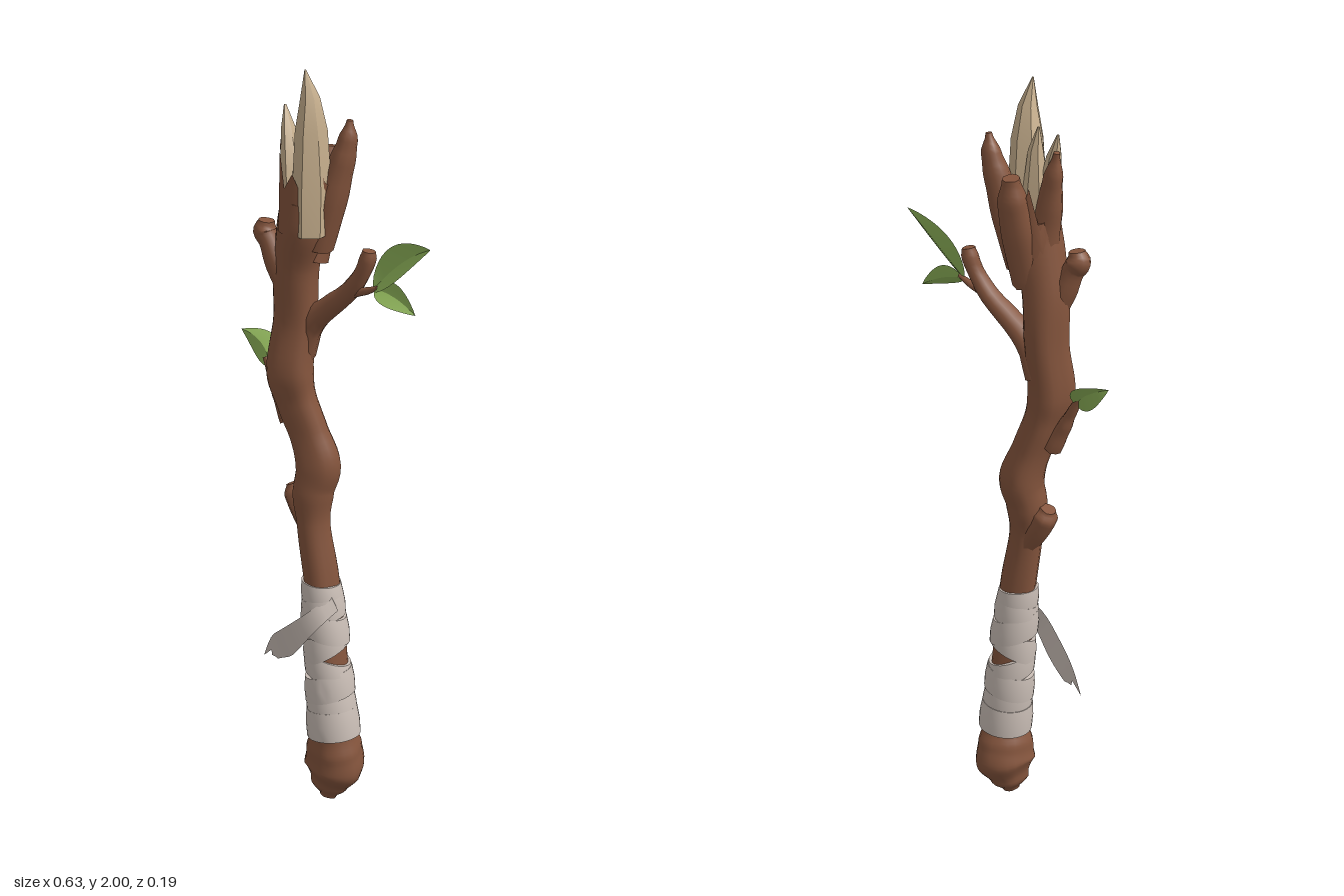
import * as THREE from 'three';
import { toCreasedNormals } from 'three/addons/utils/BufferGeometryUtils.js';

const V = (x, y, z) => new THREE.Vector3(x, y, z);
const mat = (name, color, side = THREE.FrontSide) => {
  const m = new THREE.MeshStandardMaterial({ color, side });
  m.name = name;
  return m;
};

// Skin a stack of point rows; closed rows wrap round, caps fill both ends
function skin(rows, closed, caps = false) {
  const n = rows[0].length, pos = [], idx = [];
  rows.forEach(row => row.forEach(p => pos.push(p.x, p.y, p.z)));
  for (let i = 0; i < rows.length - 1; i++) {
    for (let j = 0; j < (closed ? n : n - 1); j++) {
      const k = (j + 1) % n, a = i * n + j, b = i * n + k;
      idx.push(a, b, a + n, b, b + n, a + n);
    }
  }
  if (caps) [0, rows.length - 1].forEach((r, end) => {
    const c = pos.length / 3, mid = V(0, 0, 0);
    rows[r].forEach(p => mid.addScaledVector(p, 1 / n));
    [mid, ...rows[r]].forEach(p => pos.push(p.x, p.y, p.z));
    for (let j = 0; j < n; j++) {
      const a = c + 1 + j, b = c + 1 + (j + 1) % n;
      idx.push(c, end ? a : b, end ? b : a);
    }
  });
  const g = new THREE.BufferGeometry();
  g.setAttribute('position', new THREE.Float32BufferAttribute(pos, 3));
  g.setIndex(idx);
  g.computeVertexNormals();
  return g;
}

// Round limb through [x, y, z, radius] stations, with bark ridges
function limb(stations, steps, sides, ridge = 0.05) {
  const path = new THREE.CatmullRomCurve3(stations.map(s => V(s[0], s[1], s[2])), false, 'centripetal');
  const last = stations.length - 1, rows = [];
  for (let i = 0; i <= steps; i++) {
    const u = i / steps, k = Math.min(Math.floor(u * last), last - 1);
    const f = THREE.MathUtils.smoothstep(u * last - k, 0, 1);
    const r = THREE.MathUtils.lerp(stations[k][3], stations[k + 1][3], f);
    const c = path.getPoint(u), t = path.getTangent(u);
    const nrm = V(0, 0, 1).cross(t).normalize(), bin = t.clone().cross(nrm);
    rows.push(Array.from({ length: sides }, (_, j) => {
      const a = j / sides * Math.PI * 2;
      const q = r * (1 + ridge * Math.sin(3 * a + c.y * 5) + ridge * 0.6 * Math.sin(5 * a - c.y * 4));
      return c.clone().addScaledVector(nrm, q * Math.cos(a)).addScaledVector(bin, q * Math.sin(a));
    }));
  }
  return skin(rows, true, true);
}

// Leaf folded along its midrib; bend is the middle of the rib, side points across it
function leaf(base, bend, tip, side, half) {
  const rib = new THREE.QuadraticBezierCurve3(base, bend, tip);
  const s = side.normalize(), up = tip.clone().sub(base).normalize().cross(s).normalize();
  const rows = [];
  for (let i = 0; i <= 14; i++) {
    const u = i / 14, w = half * Math.pow(Math.sin(Math.PI * Math.pow(u, 0.8)), 0.85) + 0.002 * (1 - u);
    rows.push([-1, -0.5, 0, 0.5, 1].map(v => rib.getPoint(u)
      .addScaledVector(s, v * w)
      .addScaledVector(up, w * 0.35 * Math.pow(Math.abs(v), 1.2))));
  }
  return toCreasedNormals(skin(rows, false), 0.5);
}

// Cloth band round the grip: middle height, width, tilt and direction of the high side
function band(y, h, tilt, high, grow) {
  const profile = [[-0.5, -0.02], [-0.5, 0], [0, 0.002], [0.5, -0.001], [0.5, -0.02]];
  return toCreasedNormals(skin(profile.map(([v, d]) => Array.from({ length: 28 }, (_, j) => {
    const a = j / 28 * Math.PI * 2, py = y + v * h + tilt * Math.cos(a - high);
    const r = 0.07 - (py - 0.2) * 0.04 + d + grow;
    return V(-0.01 - (py - 0.2) * 0.093 + r * Math.cos(a), py, -r * Math.sin(a));
  })), true), 0.7);
}

export function createModel() {
  const group = new THREE.Group();
  const bark = mat('bark brown', 0x85553d);
  const barkShell = mat('bark shell brown', 0x85553d, THREE.DoubleSide);
  const wood = mat('bare wood', 0xc9b18f);
  const cloth = mat('cloth', 0xcbbfb7, THREE.DoubleSide);
  const green = mat('leaf green', 0x8fb45a, THREE.DoubleSide);
  const add = (name, geo, m) => {
    const mesh = new THREE.Mesh(geo, m);
    mesh.name = name;
    group.add(mesh);
  };

  // Crooked main stem with a bulbous butt
  add('stem', limb([
    [-0.03, 0.005, -0.005, 0.022], [-0.025, 0.045, -0.008, 0.052], [-0.012, 0.1, -0.01, 0.08],
    [-0.01, 0.15, -0.005, 0.074], [-0.01, 0.21, 0, 0.06], [-0.03, 0.42, 0, 0.052],
    [-0.05, 0.63, 0, 0.047], [-0.072, 0.79, 0.004, 0.043], [-0.075, 0.88, 0, 0.053],
    [-0.064, 0.95, -0.008, 0.058], [-0.088, 1.04, 0, 0.051], [-0.115, 1.12, 0.012, 0.053],
    [-0.13, 1.2, 0.02, 0.061], [-0.122, 1.34, 0.006, 0.056], [-0.115, 1.48, 0.012, 0.058],
    [-0.085, 1.6, 0.02, 0.067], [-0.075, 1.66, 0.018, 0.068],
  ], 96, 20), bark);

  // Torn bark edge around the broken top
  const tears = [1.7, 1.8, 1.68, 1.72, 1.66, 1.76, 1.65, 1.7, 1.76, 1.68, 1.79, 1.7, 1.74, 1.68, 1.8, 1.72];
  const rim = [0, 0.5, 1].map(v => tears.map((top, j) => {
    const a = j / tears.length * Math.PI * 2, r = 0.067 + 0.005 * v;
    return V(-0.085 + 0.012 * v + r * Math.cos(a), 1.58 + (top - 1.58) * v, 0.019 - r * Math.sin(a));
  }));
  add('tornBark', skin(rim, true), barkShell);

  // Bark prongs, stubs and side branches
  const limbs = {
    leftProng: [[-0.06, 1.54, 0.005, 0.045], [-0.022, 1.66, 0, 0.043], [0.008, 1.76, -0.006, 0.034], [0.024, 1.82, -0.01, 0.025], [0.031, 1.87, -0.01, 0.008]],
    backProng: [[-0.08, 1.5, 0, 0.045], [-0.068, 1.62, -0.028, 0.045], [-0.06, 1.72, -0.052, 0.038], [-0.06, 1.785, -0.062, 0.022]],
    rightProng: [[-0.1, 1.56, 0.015, 0.045], [-0.124, 1.68, 0.01, 0.036], [-0.143, 1.78, -0.002, 0.025], [-0.157, 1.85, -0.01, 0.008]],
    upperStub: [[-0.12, 1.4, 0.015, 0.035], [-0.16, 1.48, 0.025, 0.034], [-0.185, 1.54, 0.028, 0.029], [-0.199, 1.565, 0.028, 0.032], [-0.195, 1.592, 0.028, 0.021]],
    lowerStub: [[-0.07, 0.77, 0, 0.038], [-0.105, 0.82, -0.005, 0.038], [-0.13, 0.86, -0.008, 0.036], [-0.14, 0.885, -0.008, 0.022]],
    branch: [[-0.11, 1.25, 0, 0.04], [-0.08, 1.33, 0.002, 0.037], [-0.02, 1.385, 0.005, 0.029], [0.04, 1.435, 0.008, 0.025], [0.08, 1.49, 0.01, 0.021], [0.096, 1.53, 0.008, 0.022], [0.1, 1.552, 0.008, 0.017]],
    branchTwig: [[0.045, 1.435, 0.01, 0.014], [0.09, 1.447, 0.015, 0.01], [0.135, 1.465, 0.022, 0.006]],
    sideTwig: [[-0.145, 1.06, 0, 0.028], [-0.178, 1.12, -0.002, 0.02], [-0.2, 1.165, -0.004, 0.014], [-0.225, 1.215, -0.008, 0.01]],
  };
  for (const [name, s] of Object.entries(limbs)) add(name, limb(s, 16, 10), bark);

  // Bare splinters of the broken top
  const splinters = [
    [[-0.06, 1.58, 0.035, 0.052], [-0.055, 1.7, 0.037, 0.054], [-0.045, 1.85, 0.052, 0.042], [-0.04, 1.93, 0.062, 0.025], [-0.047, 2, 0.07, 0.002]],
    [[-0.11, 1.6, 0.03, 0.035], [-0.125, 1.74, 0.02, 0.03], [-0.14, 1.83, 0.01, 0.02], [-0.152, 1.89, 0.005, 0.003]],
    [[-0.085, 1.6, 0.02, 0.045], [-0.09, 1.74, 0.012, 0.034], [-0.09, 1.84, 0.01, 0.02], [-0.097, 1.9, 0.008, 0.003]],
  ];
  splinters.forEach((s, i) => add('splinter' + (i + 1), toCreasedNormals(limb(s, s.length - 1, 7, 0.08), 0.4), wood));

  // Cloth grip, left open towards the back and the left side
  [
    [0.238, 0.08, 0.006, 0, 0.002], [0.296, 0.075, 0.012, 2.6, -0.001], [0.345, 0.07, 0.016, 0.4, 0.002],
    [0.392, 0.065, 0.022, 3.6, 0], [0.468, 0.07, 0.03, 0.6, 0.001],
    [0.515, 0.07, 0.016, 3.4, 0.004], [0.562, 0.065, 0.014, 0.5, 0.002], [0.602, 0.06, 0.005, 3, 0],
  ].forEach((b, i) => add('gripBand' + (i + 1), band(...b), cloth));

  // Loose cloth end with a notched tip
  const path = new THREE.CatmullRomCurve3([
    V(0.012, 0.59, 0.03), V(-0.02, 0.555, 0.064), V(-0.07, 0.505, 0.073),
    V(-0.13, 0.45, 0.045), V(-0.185, 0.405, 0.012), V(-0.232, 0.345, -0.01)]);
  const ends = [0.85, 0.87, 0.9, 0.88, 1];
  const strip = Array.from({ length: 17 }, (_, i) => ends.map((end, j) => {
    const u = i / 16, half = 0.022 + 0.016 * Math.sin(Math.PI * Math.pow(u, 1.8));
    return path.getPoint(u * (1 - (1 - end) * u))
      .addScaledVector(V(-0.64, 0.74, -0.2), (j / 2 - 1) * half);
  }));
  add('looseCloth', skin(strip, false), cloth);

  // Leaves
  add('largeLeaf', leaf(V(0.12, 1.458, 0.02), V(0.19, 1.55, 0.0), V(0.312, 1.6, 0.065), V(-0.5, 0.72, -0.5), 0.046), green);
  add('smallLeaf', leaf(V(0.125, 1.46, 0.02), V(0.18, 1.46, 0.02), V(0.25, 1.415, 0.03), V(0.3, 0.85, -0.4), 0.03), green);
  add('sideLeaf', leaf(V(-0.215, 1.195, -0.006), V(-0.25, 1.25, -0.045), V(-0.318, 1.268, -0.03), V(0.55, 0.75, -0.35), 0.035), green);
  return group;
}
